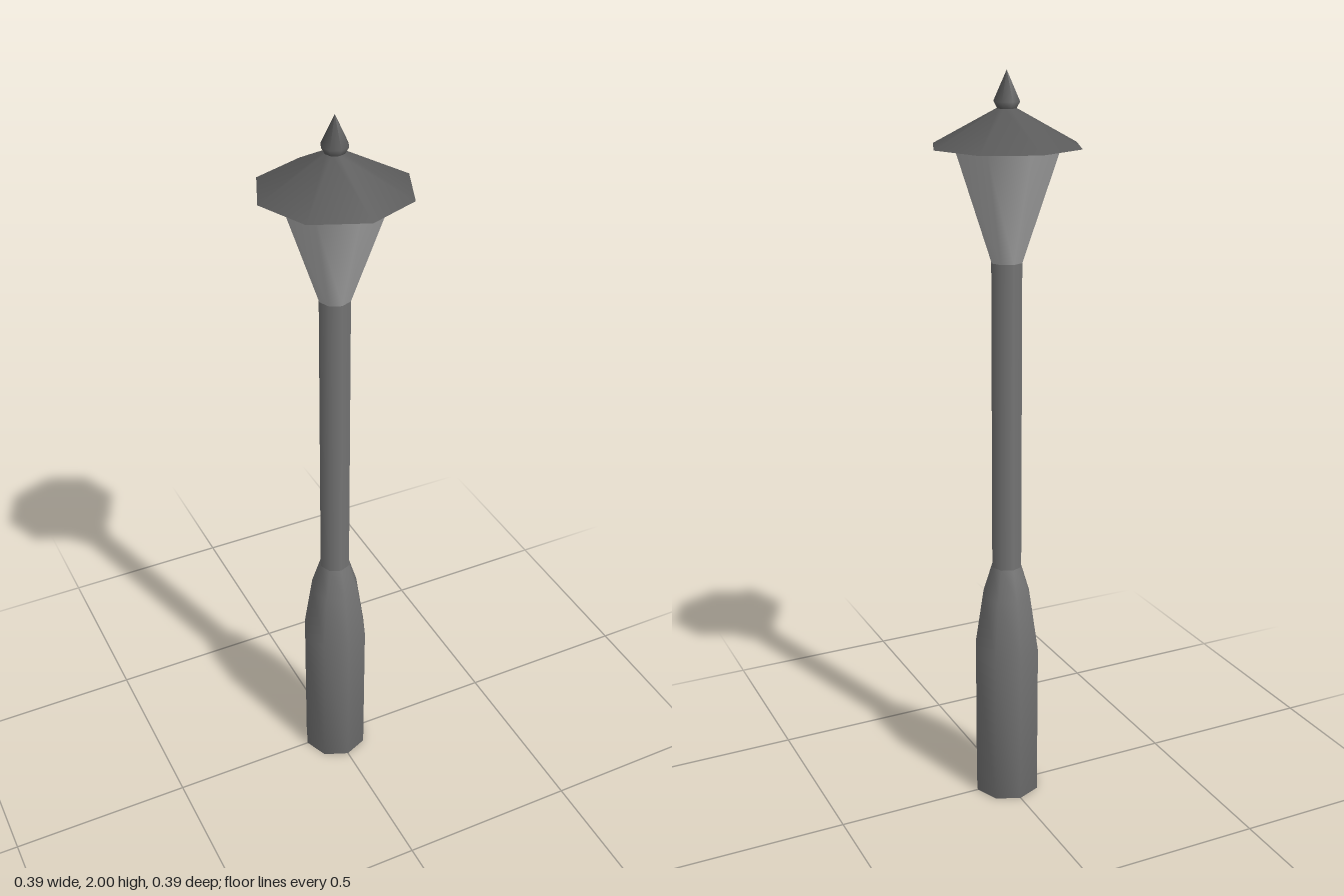
import * as THREE from 'three';

const SIDES = 8;
const paint = (color) => new THREE.MeshStandardMaterial({ color, side: THREE.DoubleSide });
const postPaint = paint(0x747474);
const roofPaint = paint(0x5a5a5a);
const lanternGlass = paint(0xb0b0b0);
const pale = paint(0xcccccc);

// Eight-sided turned part; the profile runs bottom to top as [radius, height]
function turned(name, material, profile) {
  const points = profile.map(([r, y]) => new THREE.Vector2(r, y));
  const mesh = new THREE.Mesh(new THREE.LatheGeometry(points, SIDES), material);
  mesh.name = name;
  return mesh;
}

export function createModel() {
  const lamp = new THREE.Group();
  lamp.name = 'streetLamp';

  // Post: wide base shaded softly into its foot, tapered shoulder, slim pole
  lamp.add(turned('base', postPaint,
    [[0, 0], [0.092, 0], [0.092, 0.44], [0.068, 0.6], [0.042, 0.685]]));
  lamp.add(turned('pole', postPaint, [[0.042, 0.685], [0.042, 1.525]]));

  // Lantern: flared housing under an overhanging roof
  lamp.add(turned('lanternHousing', lanternGlass, [[0.042, 1.525], [0.141, 1.816]]));
  lamp.add(turned('roofUnderside', pale, [[0.141, 1.816], [0.197, 1.816]]));
  lamp.add(turned('roof', roofPaint, [[0.197, 1.816], [0.022, 1.91]]));

  // Pointed finial
  lamp.add(turned('finial', roofPaint, [[0.024, 1.905], [0.035, 1.925], [0, 2]]));

  return lamp;
}
